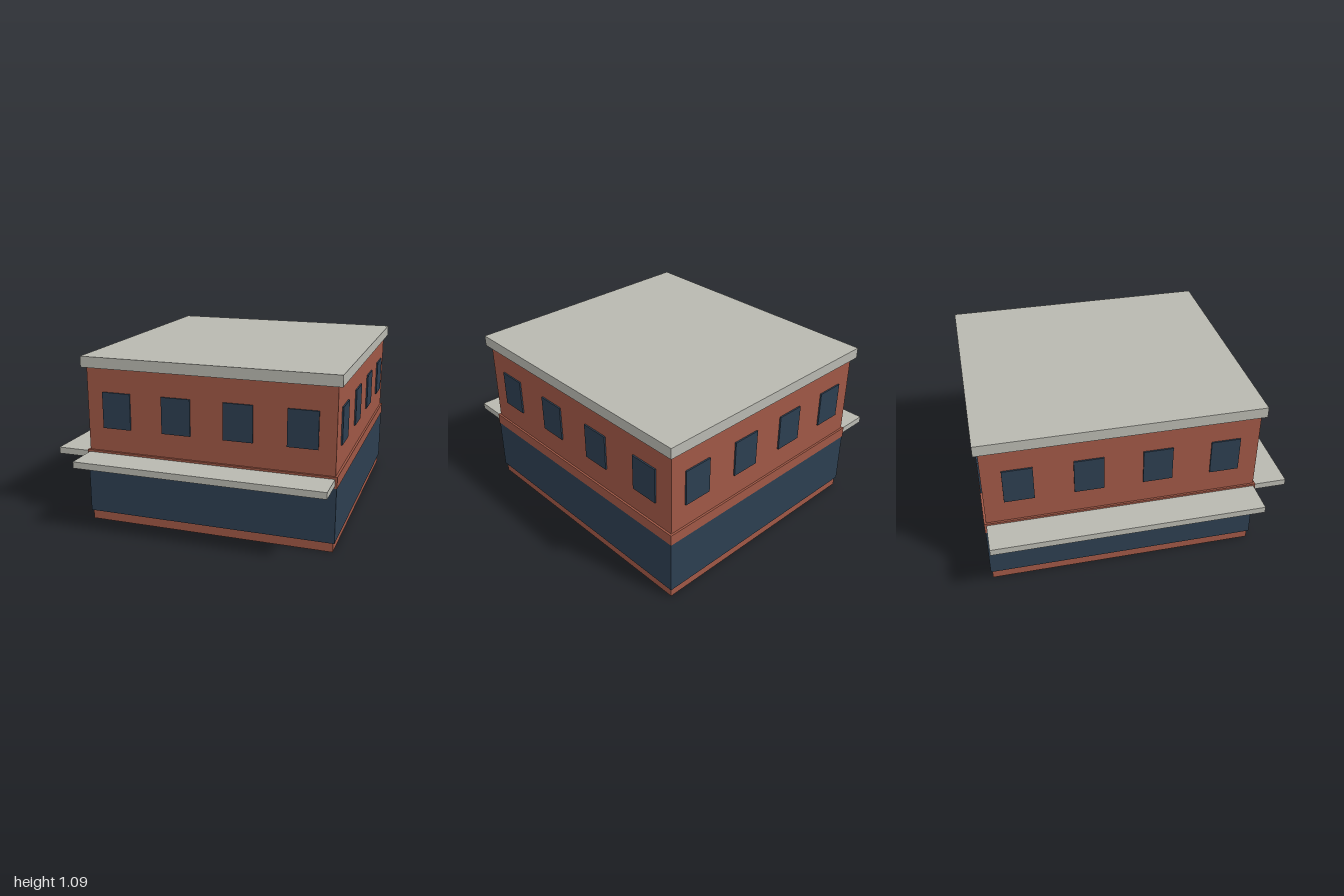
import * as THREE from 'three';

const brick = new THREE.MeshStandardMaterial({ name: 'brick', color: 0x9f5745 });
const glass = new THREE.MeshStandardMaterial({ name: 'dark glass', color: 0x2c3e50 });
const concrete = new THREE.MeshStandardMaterial({ name: 'concrete', color: 0xb8b8b0 });

// Main block footprint
const W = 1.595, D = 1.74, CX = 0.0975, CZ = -0.1;

// Box spanning y0..y1, with its centre relative to the block's centre
function slab(name, material, w, d, y0, y1, x = 0, z = 0) {
  const mesh = new THREE.Mesh(new THREE.BoxGeometry(w, y1 - y0, d), material);
  mesh.name = name;
  mesh.position.set(x, (y0 + y1) / 2, z);
  return mesh;
}

export function createModel() {
  const model = new THREE.Group();
  model.name = 'building';
  const block = new THREE.Group();
  block.name = 'block';
  block.position.set(CX, 0, CZ);
  model.add(block);

  // Walls, ground-floor glazing, brick course and roof
  block.add(
    slab('walls', brick, W, D, 0, 1.02),
    slab('shopGlazing', glass, W + 0.02, D + 0.02, 0.06, 0.41),
    slab('brickCourse', brick, W + 0.026, D + 0.026, 0.41, 0.48),
    slab('roof', concrete, W + 0.055, D + 0.055, 1.02, 1.09),
  );

  // Canopies on the front and the right
  block.add(
    slab('frontCanopy', concrete, W, 0.23, 0.425, 0.467, 0, D / 2 + 0.115),
    slab('rightCanopy', concrete, 0.23, D, 0.425, 0.467, -W / 2 - 0.115, 0),
  );

  // Four upper windows on each of the four sides
  const names = ['front', 'left', 'back', 'right'];
  names.forEach((name, side) => {
    const [length, depth] = side % 2 ? [D, W] : [W, D];
    const row = new THREE.Group();
    row.name = name + 'Windows';
    row.rotation.y = side * Math.PI / 2;
    for (let i = 0; i < 4; i++) {
      const x = ((i + 0.5) / 4 - 0.5) * length;
      row.add(slab('window', glass, 0.188, 0.0099, 0.633, 0.866, x, depth / 2 + 0.005));
    }
    block.add(row);
  });

  return model;
}
